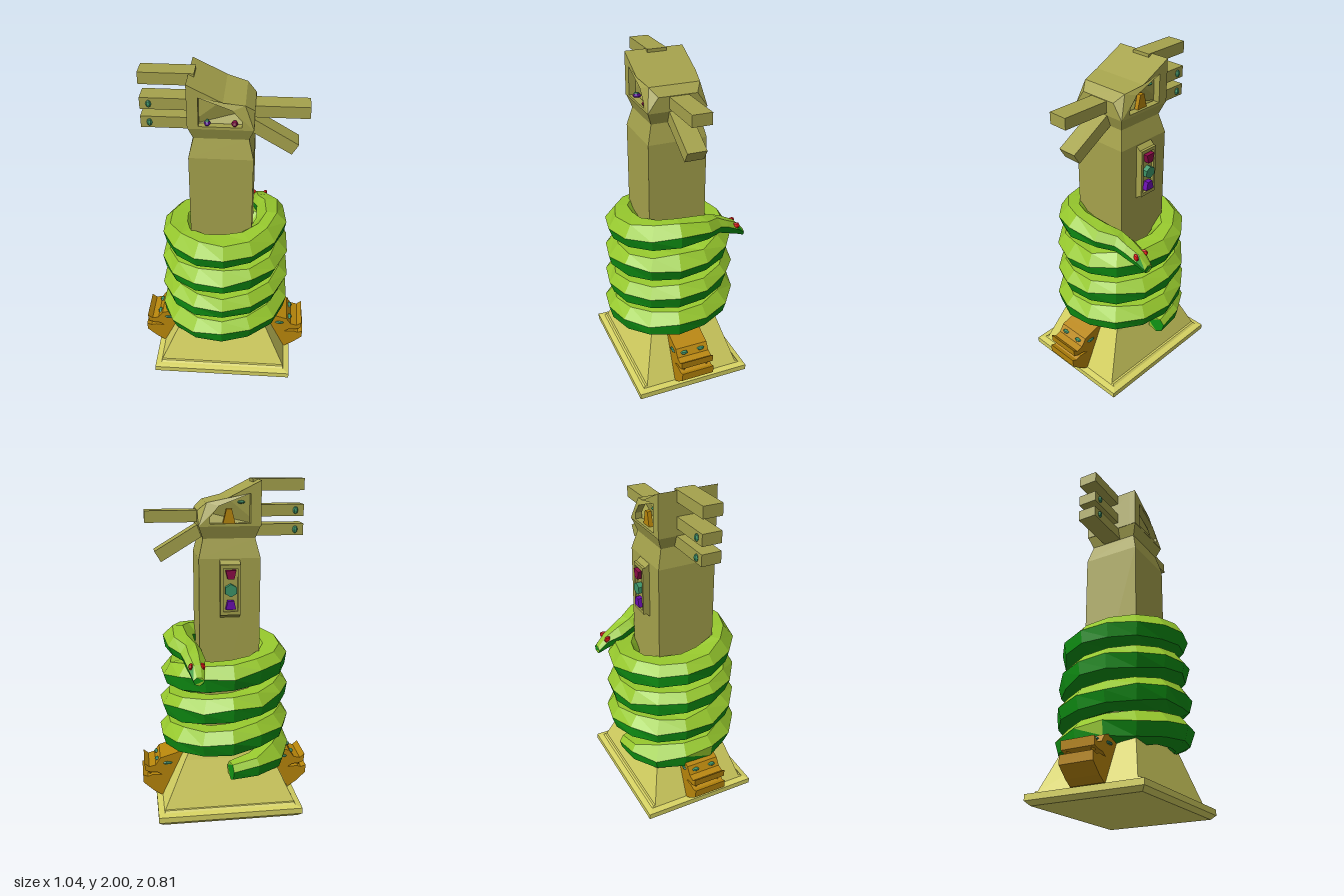
import * as THREE from 'three';

const mat = (color) => new THREE.MeshStandardMaterial({ color, flatShading: true });
const M = {
  stone: mat(0xd6d262), pillar: mat(0xa5a24c), gold: mat(0xb8860b), lime: mat(0x96c82d), leaf: mat(0x109414),
  jade: mat(0x3c9468), purple: mat(0x6a0dad), crimson: mat(0x8b0a46), red: mat(0xdd1414),
};

let seed = 7;
const rnd = () => { seed = (seed * 16807) % 2147483647; return seed / 2147483647 - 0.5; };

// Triangles of a skin over rings that run counter-clockwise about the travel direction
function loftTris(rings) {
  const tris = [], n = rings[0].length;
  for (let i = 0; i < rings.length - 1; i++) {
    for (let j = 0; j < n; j++) {
      const k = (j + 1) % n, a = rings[i], b = rings[i + 1];
      tris.push([a[j], a[k], b[k]], [a[j], b[k], b[j]]);
    }
  }
  const first = rings[0], last = rings[rings.length - 1];
  for (let j = 1; j < n - 1; j++) tris.push([first[0], first[j + 1], first[j]], [last[0], last[j], last[j + 1]]);
  return tris;
}

function trisGeometry(tris) {
  const g = new THREE.BufferGeometry().setFromPoints(tris.flat());
  g.computeVertexNormals();
  return g;
}

// Stacked rectangles: [y, half width, half depth, centre x, centre z]
function rectLoft(sections) {
  return trisGeometry(loftTris(sections.map(([y, w, d, cx = 0, cz = 0]) =>
    [[1, 1], [1, -1], [-1, -1], [-1, 1]].map(([sx, sz]) => new THREE.Vector3(cx + sx * w, y, cz + sz * d)))));
}

const shapeOf = (pts) => new THREE.Shape(pts.map(([x, y]) => new THREE.Vector2(x, y)));

function extrude(pts, depth, hole) {
  const s = shapeOf(pts);
  if (hole) s.holes.push(shapeOf(hole));
  return new THREE.ExtrudeGeometry(s, { depth, bevelEnabled: false });
}

function add(parent, name, geometry, material, x = 0, y = 0, z = 0) {
  const m = new THREE.Mesh(geometry, material);
  m.name = name;
  m.position.set(x, y, z);
  parent.add(m);
  return m;
}

function gem(parent, name, material, x, y, z, sx, sy, sz) {
  const m = add(parent, name, new THREE.SphereGeometry(1, 6, 4), material, x, y, z);
  m.scale.set(sx, sy, sz);
  return m;
}

function buildPillar(root) {
  add(root, 'basePlate', rectLoft([[0, 0.41, 0.335], [0.025, 0.437, 0.36], [0.06, 0.437, 0.36],
    [0.065, 0.415, 0.34], [0.068, 0.4, 0.325], [0.08, 0.395, 0.315]]), M.stone);
  add(root, 'pedestal', rectLoft([[0.07, 0.4, 0.305], [0.36, 0.265, 0.22], [0.5, 0.2, 0.19]]), M.stone);
  add(root, 'pillar', rectLoft([[0.3, 0.177, 0.175, -0.012, 0.01], [1.57, 0.177, 0.175, -0.012, 0.01],
    [1.68, 0.15, 0.147, -0.012, 0.01], [1.755, 0.177, 0.175, -0.012, 0.01]]), M.pillar);
}

function buildHead(root) {
  const head = new THREE.Group();
  head.name = 'pillarHead';
  root.add(head);
  const outline = [[-0.19, 1.75], [0.165, 1.75], [0.165, 1.835], [0.115, 1.88], [0, 1.905], [-0.19, 2]];
  const opening = [[-0.13, 1.765], [0.1, 1.765], [0.1, 1.8], [0.05, 1.862], [-0.13, 1.93]];
  // The right end of the head narrows towards its top
  const slab = (name, depth, z, hole) => {
    const g = extrude(outline, depth, hole).translate(0, 0, z);
    const p = g.attributes.position;
    for (let i = 0; i < p.count; i++) {
      if (p.getX(i) > 0.11 && p.getY(i) > 1.8) p.setZ(i, 0.01 + (p.getZ(i) - 0.01) * (p.getX(i) > 0.15 ? 0.65 : 0.85));
    }
    g.computeVertexNormals();
    add(head, name, g, M.pillar);
  };
  slab('headCore', 0.27, -0.125);
  slab('frontFrame', 0.04, 0.145, opening);
  slab('backFrame', 0.04, -0.165, opening);

  // Bars on both sides
  [1.97, 1.825, 1.715].forEach((y, i) => {
    add(head, 'sideBar', new THREE.BoxGeometry(0.3, 0.067, 0.115), M.pillar, -0.31, y, 0.0025);
    if (i) for (const z of [-0.058, 0.063]) gem(head, 'barGem', M.jade, -0.41, y, z, 0.016, 0.022, 0.014);
  });
  add(head, 'upperBeak', new THREE.BoxGeometry(0.34, 0.067, 0.115), M.pillar, 0.29, 1.798, 0.0025);
  add(head, 'lowerBeak', new THREE.BoxGeometry(0.34, 0.072, 0.115), M.pillar, 0.245, 1.658, 0.0025).rotation.z = -0.54;

  // Ornaments inside the two openings
  gem(head, 'eye', M.purple, -0.085, 1.772, 0.155, 0.018, 0.018, 0.025);
  gem(head, 'eyeSpot', M.jade, -0.085, 1.785, 0.158, 0.012, 0.008, 0.016);
  gem(head, 'eye', M.crimson, 0.06, 1.772, 0.155, 0.018, 0.018, 0.025);
  add(head, 'backOrnament', extrude([[-0.045, 1.765], [0.025, 1.765], [0.005, 1.845], [-0.025, 1.845]], 0.025), M.gold, 0, 0, -0.15);
  gem(head, 'backEye', M.jade, -0.08, 1.88, -0.13, 0.022, 0.01, 0.02);
}

function buildBackPanel(root) {
  const panel = new THREE.Group();
  panel.name = 'backPanel';
  panel.position.set(-0.012, 1.395, -0.165);
  root.add(panel);
  add(panel, 'panelPlate', rectLoft([[-0.01, 0.058, 0.175], [0.025, 0.058, 0.145]]), M.pillar).rotation.x = -Math.PI / 2;
  const rect = (w, h) => [[-w, -h], [w, -h], [w, h], [-w, h]];
  add(panel, 'panelFrame', extrude(rect(0.058, 0.145), 0.016, rect(0.042, 0.125)), M.pillar, 0, 0, -0.04);
  const trapezoid = (s) => extrude([[-0.018, -0.025 * s], [0.018, -0.025 * s], [0.03, 0.025 * s], [-0.03, 0.025 * s]], 0.035);
  add(panel, 'upperGem', trapezoid(1), M.crimson, 0, 0.09, -0.055);
  add(panel, 'lowerGem', trapezoid(-1), M.purple, 0, -0.085, -0.055);
  add(panel, 'middleGem', new THREE.CylinderGeometry(0.037, 0.037, 0.035, 6), M.jade, 0, 0, -0.038).rotation.x = Math.PI / 2;
}

// Open-mouthed beast head, facing +x
function buildBeast(root, name, turn) {
  const beast = new THREE.Group();
  beast.name = name;
  beast.position.z = 0.016;
  beast.rotation.y = turn;
  root.add(beast);
  const profile = [[0.24, 0.07], [0.41, 0.07], [0.455, 0.1], [0.518, 0.16], [0.52, 0.212], [0.49, 0.2], [0.46, 0.21],
    [0.4, 0.205], [0.43, 0.225], [0.47, 0.228], [0.505, 0.24], [0.51, 0.29], [0.48, 0.265], [0.44, 0.275],
    [0.41, 0.32], [0.36, 0.335], [0.28, 0.36], [0.24, 0.36]];
  add(beast, 'beastHead', extrude(profile, 0.205), M.gold, 0, 0, -0.1025);
  for (const s of [-1, 1]) {
    gem(beast, 'beastEye', M.jade, 0.365, 0.285, s * 0.103, 0.03, 0.01, 0.012);
    gem(beast, 'browGem', M.jade, 0.43, 0.298, s * 0.055, 0.015, 0.01, 0.025);
    const tooth = add(beast, 'tooth', new THREE.ConeGeometry(0.018, 0.045, 4), M.gold, 0.475, 0.215, s * 0.075);
    tooth.rotation.x = Math.PI;
  }
}

function buildSnake(root) {
  const snake = new THREE.Group();
  snake.name = 'snake';
  root.add(snake);
  // Stations along the body: centre, half width, half height
  const stations = [], perTurn = 14, turns = 3.72, count = Math.round(perTurn * turns);
  for (let i = 0; i <= count; i++) {
    const t = (i / count) * turns, a = t * Math.PI * 2;
    const r = 0.312 - 0.008 * t, tail = Math.min(1, 0.6 + t * 3);
    stations.push([new THREE.Vector3(-Math.sin(a) * r, 0.32 + 0.196 * t, -Math.cos(a) * r),
      0.1 * tail * (1 + rnd() * 0.1), 0.093 * tail * (1 + rnd() * 0.1)]);
  }
  for (const [x, y, z, w, h] of [[0.265, 1.05, -0.11, 0.085, 0.07], [0.22, 1.03, -0.2, 0.068, 0.06],
    [0.205, 1.0, -0.27, 0.064, 0.055], [0.198, 0.965, -0.35, 0.048, 0.045], [0.195, 0.925, -0.405, 0.033, 0.025]]) {
    stations.push([new THREE.Vector3(x, y, z), w, h]);
  }
  const sides = 7, up = new THREE.Vector3(0, 1, 0);
  const rings = stations.map(([c, w, h], i) => {
    const next = stations[Math.min(i + 1, stations.length - 1)][0], prev = stations[Math.max(i - 1, 0)][0];
    const side = up.clone().cross(next.clone().sub(prev).setY(0).normalize());
    return Array.from({ length: sides }, (_, j) => {
      const a = (j / sides) * Math.PI * 2 + 0.25 + rnd() * 0.3;
      return c.clone().addScaledVector(side, Math.cos(a) * w).addScaledVector(up, Math.sin(a) * h);
    });
  });
  // Lime scales above, leaf green below, mixed along the border
  const lime = [], leaf = [];
  for (const t of loftTris(rings)) {
    const n = new THREE.Triangle(...t).getNormal(new THREE.Vector3());
    (n.y + rnd() * 0.8 > 0.2 ? lime : leaf).push(t);
  }
  add(snake, 'upperScales', trisGeometry(lime), M.lime);
  add(snake, 'lowerScales', trisGeometry(leaf), M.leaf);
  for (const s of [-1, 1]) gem(snake, 'snakeEye', M.red, 0.2 + s * 0.034, 0.995, -0.345, 0.013, 0.02, 0.025).rotation.y = -s * 0.3;
}

export function createModel() {
  const root = new THREE.Group();
  root.name = 'totem';
  buildPillar(root);
  buildHead(root);
  buildBackPanel(root);
  buildBeast(root, 'leftBeast', 0);
  buildBeast(root, 'rightBeast', Math.PI);
  buildSnake(root);
  return root;
}
